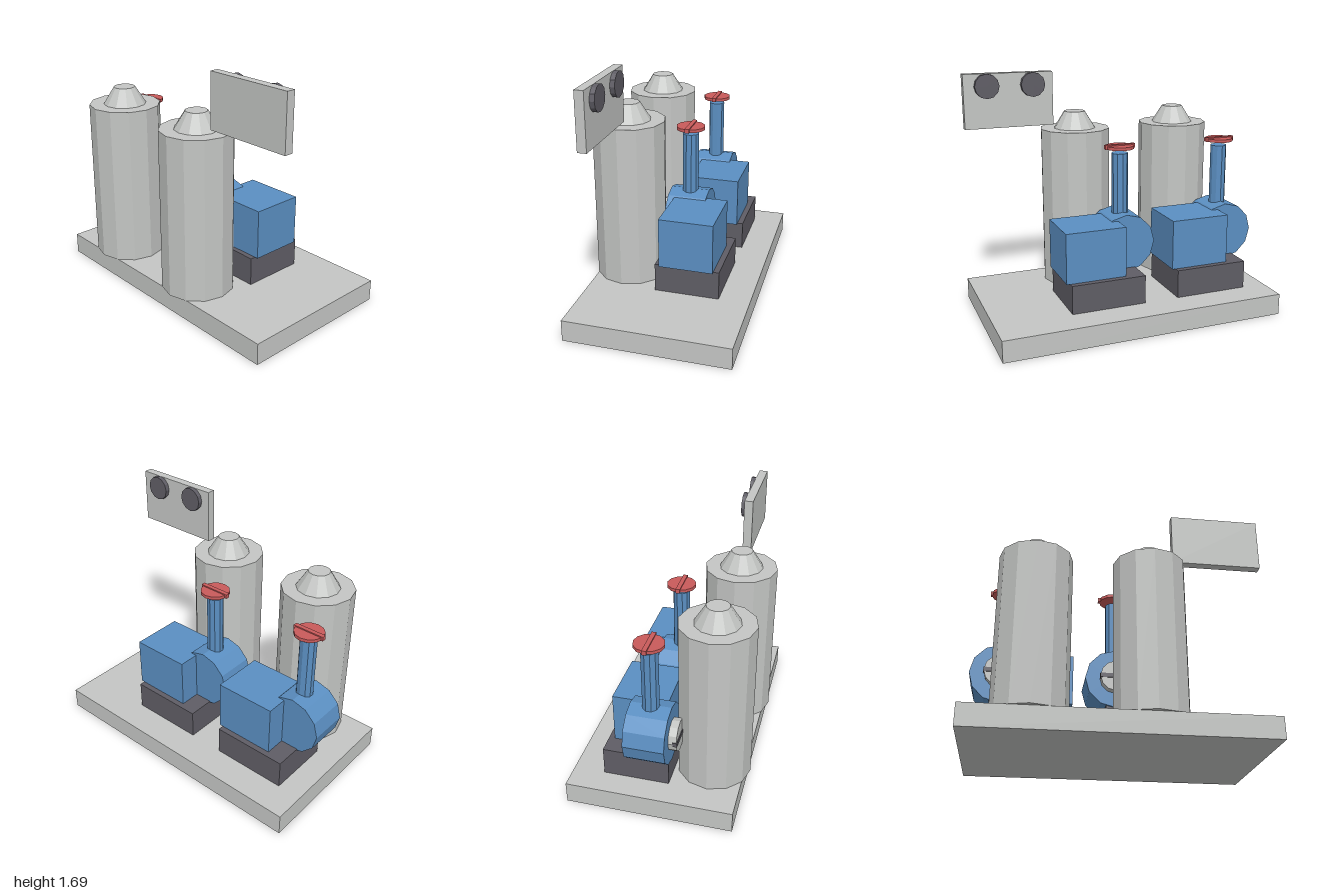
import * as THREE from 'three';

const mat = (name, color) => {
  const m = new THREE.MeshStandardMaterial({ color, flatShading: true });
  m.name = name;
  return m;
};

export function createModel() {
  const paleGrey = mat('pale grey', 0xc4c6c4);
  const blue = mat('pump blue', 0x5b8fc2);
  const red = mat('valve red', 0xc95b5b);
  const dark = mat('dark grey', 0x5f5d65);

  const add = (parent, name, geometry, material, x, y, z) => {
    const mesh = new THREE.Mesh(geometry, material);
    mesh.name = name;
    mesh.position.set(x, y, z);
    parent.add(mesh);
    return mesh;
  };

  // Box given by its minimum and maximum corners
  const box = (parent, name, material, [x0, y0, z0], [x1, y1, z1]) =>
    add(parent, name, new THREE.BoxGeometry(x1 - x0, y1 - y0, z1 - z0), material,
      (x0 + x1) / 2, (y0 + y1) / 2, (z0 + z1) / 2);

  // Upright faceted cylinder from y0 to y1
  const post = (parent, name, material, x, z, y0, y1, rBottom, rTop, sides = 12) =>
    add(parent, name, new THREE.CylinderGeometry(rTop, rBottom, y1 - y0, sides), material,
      x, (y0 + y1) / 2, z);

  // Faceted cylinder lying along z, from z0 to z1
  const drum = (parent, name, material, x, y, z0, z1, r, sides = 12) =>
    add(parent, name, new THREE.CylinderGeometry(r, r, z1 - z0, sides).rotateX(Math.PI / 2),
      material, x, y, (z0 + z1) / 2);

  const model = new THREE.Group();
  model.name = 'pumpSkid';

  box(model, 'basePlate', paleGrey, [-1, 0, -0.583], [1, 0.15, 0.543]);

  // Two identical pump units with their tanks
  for (const [name, offset] of [['rightUnit', -0.567], ['leftUnit', 0.208]]) {
    const unit = new THREE.Group();
    unit.name = name;
    unit.position.x = offset;
    model.add(unit);

    // Tank with conical cap
    post(unit, 'tank', paleGrey, 0, 0.33, 0.15, 1.28, 0.25, 0.25);
    post(unit, 'tankCap', paleGrey, 0, 0.33, 1.28, 1.4, 0.15, 0.075);

    // Plinth, motor and pump casing
    box(unit, 'plinth', dark, [-0.263, 0.15, -0.37], [0.265, 0.35, 0.078]);
    box(unit, 'motor', blue, [-0.135, 0.35, -0.33], [0.29, 0.7, 0.042]);
    const px = -0.2, py = 0.53, pz = -0.047;
    drum(unit, 'pumpCasing', blue, px, py, -0.183, 0.09, 0.206);

    // Inlet stub with crossbar
    drum(unit, 'inlet', paleGrey, px, py, 0.05, 0.145, 0.108);
    box(unit, 'inletBar', dark, [px - 0.11, py - 0.015, 0.12], [px + 0.11, py + 0.015, 0.15]);

    // Discharge pipe and valve handwheel
    post(unit, 'dischargePipe', blue, px, pz, 0.7, 1.15, 0.058, 0.058, 10);
    post(unit, 'handwheel', red, px, pz, 1.18, 1.202, 0.1, 0.1);
    box(unit, 'handwheelBar', red, [px - 0.11, 1.18, pz - 0.015], [px + 0.11, 1.21, pz + 0.015]);
  }

  // Raised control panel with two dials on its back
  box(model, 'controlPanel', paleGrey, [0.375, 1.315, 0.302], [1, 1.69, 0.362]);
  for (const x of [0.522, 0.843])
    drum(model, 'dial', dark, x, 1.606, 0.27, 0.302, 0.085);

  return model;
}
